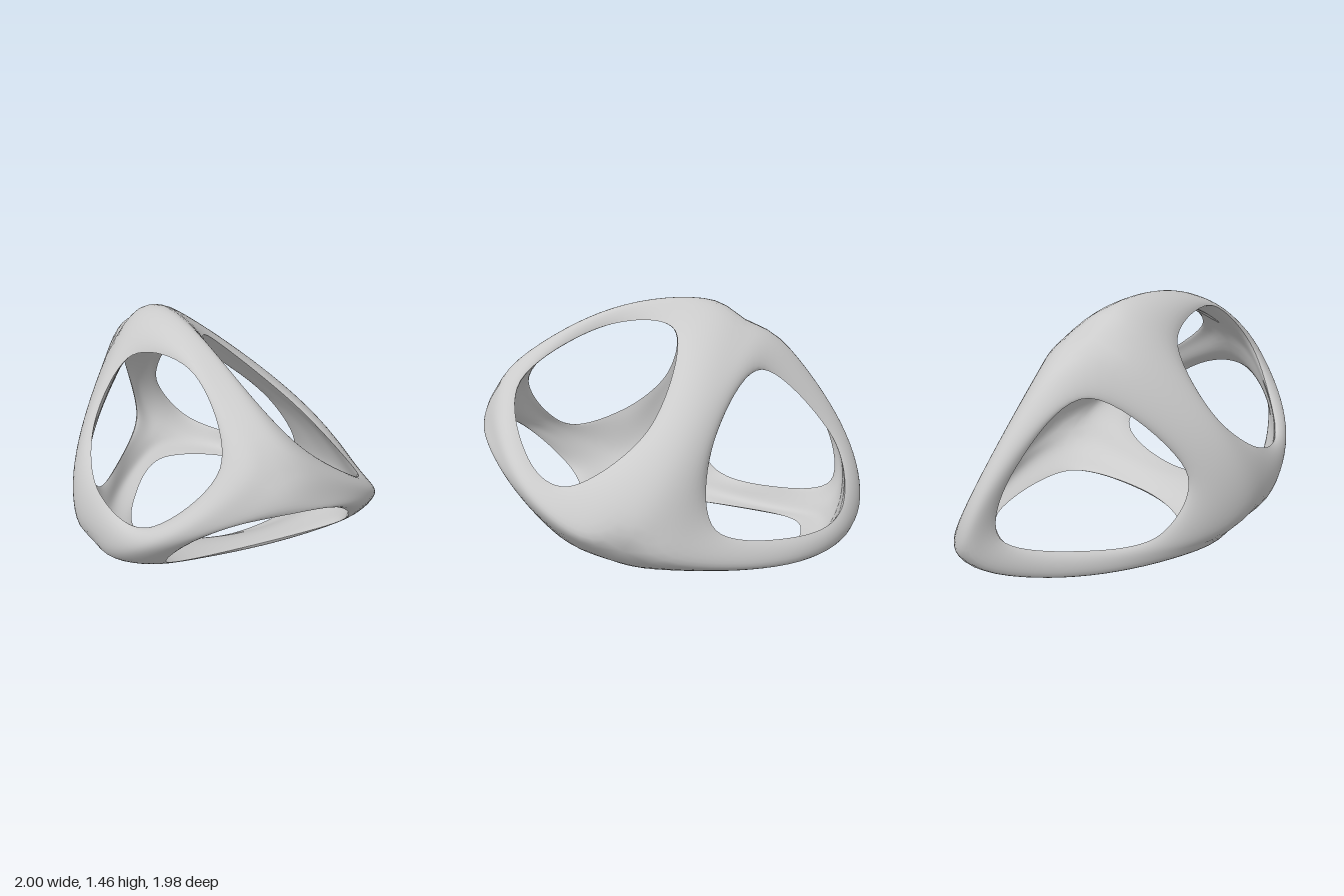
import * as THREE from 'three';
import { mergeVertices } from 'three/addons/utils/BufferGeometryUtils.js';

const V = (a) => new THREE.Vector3(...a);
const CENTRE = new THREE.Vector3(0, 0.55, 0);
const STEPS = 20; // samples along one strut
const ACROSS = 9; // samples from the crest of a strut to its rim

// Five junctions of the rounded double pyramid: [position, depth of material]
const nodes = {
  N: [[0.68, 0.98, 0.74], 0.1], // front apex
  T: [[-0.67, 1.4, -0.22], 0.18], // top corner
  R: [[0.78, 0.19, -0.53], 0.15], // side corner
  F: [[-0.56, 0.14, 0.72], 0.15], // front corner
  M: [[-0.95, 0.08, -0.89], 0.18], // back apex
};

// Nine struts, each bowed through a middle point
const struts = {
  NT: [[0.01, 1.42, 0.27], 0.08],
  NR: [[1.0, 0.53, 0.05], 0.08],
  FN: [[0.08, 0.51, 1.0], 0.08],
  FR: [[0.25, 0.01, 0.15], 0.08],
  MR: [[-0.15, 0.02, -0.97], 0.08],
  FM: [[-0.86, 0.0, -0.1], 0.08],
  MT: [[-0.98, 0.67, -0.71], 0.08],
  RT: [[0.25, 0.78, -0.56], 0.09],
  FT: [[-0.71, 0.7, 0.49], 0.08],
};

// Six openings: three junctions, then the rim as corner, middle, corner, ...
const openings = [
  ['NTF', [[0.36, 0.94, 0.79], [0.08, 1.3, 0.5], [-0.42, 1.24, 0.28],
    [-0.58, 0.88, 0.47], [-0.42, 0.6, 0.75], [-0.02, 0.54, 0.91]]],
  ['NRT', [[0.65, 1.0, 0.47], [0.88, 0.65, 0.1], [0.8, 0.54, -0.2],
    [0.35, 0.82, -0.34], [-0.1, 1.28, -0.08], [0.15, 1.29, 0.3]]],
  ['NFR', [[0.74, 0.72, 0.72], [0.35, 0.6, 0.9], [0.03, 0.24, 0.78],
    [0.32, 0.12, 0.3], [0.8, 0.24, -0.02], [0.9, 0.6, 0.38]]],
  ['MTF', [[-0.95, 0.28, -0.66], [-0.95, 0.7, -0.56], [-0.83, 1.05, -0.18],
    [-0.73, 0.6, 0.33], [-0.77, 0.22, 0.2], [-0.86, 0.16, -0.22]]],
  ['MRT', [[-0.7, 0.25, -0.93], [-0.3, 0.16, -0.94], [0.24, 0.28, -0.74],
    [0.08, 0.72, -0.57], [-0.45, 1.05, -0.47], [-0.82, 0.62, -0.74]]],
  ['MFR', [[-0.7, 0.04, -0.6], [-0.66, 0.03, -0.1], [-0.4, 0.03, 0.32],
    [0.1, 0.03, 0.12], [0.36, 0.05, -0.42], [-0.2, 0.03, -0.81]]],
];

const outward = (p) => p.clone().sub(CENTRE).normalize();

// Point and depth on the crest of the strut from junction a to junction b
function crest(a, b, u) {
  const [mid, midDepth] = struts[[a, b].sort().join('')];
  const wa = (1 - u) * (1 - 2 * u), wm = 4 * u * (1 - u), wb = u * (2 * u - 1);
  const p = V(nodes[a][0]).multiplyScalar(wa)
    .addScaledVector(V(mid), wm).addScaledVector(V(nodes[b][0]), wb);
  const end = u < 0.5 ? nodes[a][1] : nodes[b][1];
  return { p, depth: midDepth + (end - midDepth) * (2 * u - 1) ** 2 };
}

// Cross-sections from crest to rim: the outside rolls over at the rim, the inside meets it flat
function sections(p, depth, rim) {
  const n = outward(p);
  const q = p.clone().addScaledVector(n, -depth);
  const across = rim.clone().sub(p);
  across.addScaledVector(n, -across.dot(n)).multiplyScalar(0.5);
  const lip = rim.clone().addScaledVector(outward(rim), 0.045);
  const under = rim.clone().lerp(q, 0.35);
  return {
    outer: new THREE.CubicBezierCurve3(p, p.clone().add(across), lip, rim).getPoints(ACROSS),
    inner: new THREE.CubicBezierCurve3(rim, under, q.clone().add(across), q).getPoints(ACROSS),
  };
}

// Relax every vertex towards its neighbours, holding the rims
function relax(geometry, rounds) {
  const { position, pin } = geometry.attributes;
  const around = Array.from({ length: position.count }, () => new Set());
  const idx = geometry.index.array;
  for (let i = 0; i < idx.length; i += 3) {
    for (let k = 0; k < 3; k++) {
      const a = idx[i + k], b = idx[i + (k + 1) % 3];
      around[a].add(b);
      around[b].add(a);
    }
  }
  let points = around.map((_, i) => new THREE.Vector3().fromBufferAttribute(position, i));
  for (let r = 0; r < rounds; r++) {
    points = points.map((p, i) => {
      if (pin.getX(i)) return p;
      const mean = new THREE.Vector3();
      for (const k of around[i]) mean.add(points[k]);
      return mean.divideScalar(around[i].size).lerp(p, 0.5);
    });
  }
  points.forEach((p, i) => position.setXYZ(i, p.x, p.y, p.z));
}

// One skin round all openings, welded along the strut crests for smooth shading
function skin(side) {
  const positions = [], pins = [], index = [];
  const rows = 3 * STEPS, cols = ACROSS + 1;
  const rimColumn = side === 'outer' ? ACROSS : 0;
  for (const [names, rimPoints] of openings) {
    const rim = new THREE.CatmullRomCurve3(rimPoints.map(V), true, 'catmullrom', 0.5);
    const [a, b, c] = [...names].map((k) => V(nodes[k][0]));
    const facing = b.clone().sub(a).cross(c.clone().sub(a))
      .dot(a.clone().add(b).add(c).divideScalar(3).sub(CENTRE));
    const base = pins.length;
    for (let i = 0; i < rows; i++) {
      const edge = Math.floor(i / STEPS);
      const { p, depth } = crest(names[edge], names[(edge + 1) % 3], (i % STEPS) / STEPS);
      sections(p, depth, rim.getPoint(i / rows))[side].forEach((v, j) => {
        positions.push(v.x, v.y, v.z);
        pins.push(j === rimColumn ? 1 : 0);
      });
    }
    for (let i = 0; i < rows; i++) {
      for (let j = 0; j < ACROSS; j++) {
        const p = base + i * cols + j, q = base + ((i + 1) % rows) * cols + j;
        if (facing > 0) index.push(p, q, q + 1, p, q + 1, p + 1);
        else index.push(p, q + 1, q, p, p + 1, q + 1);
      }
    }
  }
  const geometry = new THREE.BufferGeometry();
  geometry.setAttribute('position', new THREE.Float32BufferAttribute(positions, 3));
  geometry.setAttribute('pin', new THREE.Float32BufferAttribute(pins, 1));
  geometry.setIndex(index);
  const welded = mergeVertices(geometry, 1e-4);
  relax(welded, 10);
  welded.deleteAttribute('pin');
  welded.computeVertexNormals();
  return welded;
}

export function createModel() {
  const group = new THREE.Group();
  group.name = 'hollowSculpture';
  const material = new THREE.MeshStandardMaterial({ color: 0xcccccc });
  for (const side of ['outer', 'inner']) {
    const mesh = new THREE.Mesh(skin(side), material);
    mesh.name = side + 'Skin';
    group.add(mesh);
  }
  // stand on the ground
  group.position.y = -new THREE.Box3().setFromObject(group).min.y;
  return group;
}
